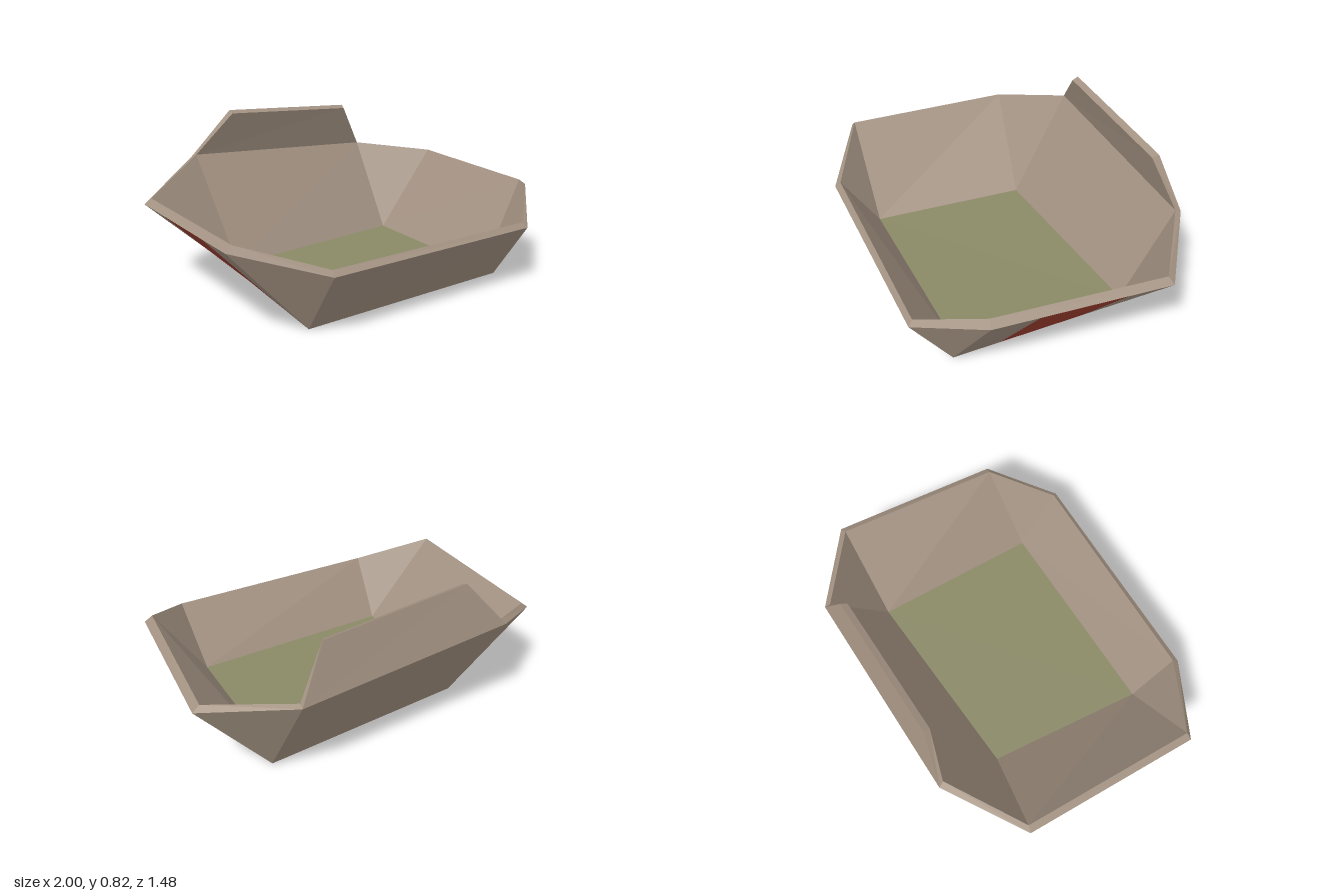
import * as THREE from 'three';

const shell = new THREE.MeshStandardMaterial({ color: 0xa39282 });
shell.name = 'taupe shell';
const red = new THREE.MeshStandardMaterial({ color: 0x9e3e2f });
red.name = 'red stripe';
const green = new THREE.MeshStandardMaterial({ color: 0x8a8a67 });
green.name = 'olive floor';

// Rim corners, clockwise from the back left as seen from above
const outerRim = [
  [-0.545, 0.575, -0.725], [0.61, 0.505, -0.74], [1.0, 0.445, -0.44], [0.89, 0.44, 0.45],
  [0.6, 0.315, 0.735], [-0.605, 0.315, 0.72], [-1.0, 0.44, 0.48], [-0.95, 0.43, -0.46],
];
const innerRim = [
  [-0.53, 0.59, -0.695], [0.605, 0.515, -0.71], [0.96, 0.47, -0.43], [0.85, 0.47, 0.44],
  [0.585, 0.34, 0.71], [-0.595, 0.34, 0.69], [-0.965, 0.47, 0.475], [-0.915, 0.458, -0.45],
];
// Floor corners: back +x and front +x, then front -x and back -x follow
const outerFloor = [[-0.5, 0.01, -0.385], [0.625, 0.01, -0.45], [0.595, 0.005, 0.52], [-0.605, 0, 0.515]];
const innerFloor = [[-0.48, 0.03, -0.36], [0.6, 0.03, -0.43], [0.555, 0.025, 0.48], [-0.58, 0.02, 0.49]];
const floorOf = [0, 1, 1, 2, 2, 3, 3, 0]; // floor corner below each rim corner

const lerp = (a, b, t) => a.map((v, i) => v + (b[i] - v) * t);

// Flat-shaded mesh from separate convex faces
function faceMesh(name, material, faces) {
  const pos = [];
  for (const f of faces)
    for (let i = 1; i < f.length - 1; i++) pos.push(...f[0], ...f[i], ...f[i + 1]);
  const geo = new THREE.BufferGeometry();
  geo.setAttribute('position', new THREE.Float32BufferAttribute(pos, 3));
  geo.computeVertexNormals();
  const mesh = new THREE.Mesh(geo, material);
  mesh.name = name;
  return mesh;
}

// Part of quad a-b-c-d between two fractions along a-b
const band = ([a, b, c, d], t0, t1) => [lerp(a, b, t0), lerp(a, b, t1), lerp(d, c, t1), lerp(d, c, t0)];

export function createModel() {
  const group = new THREE.Group();
  group.name = 'tray';
  const outer = [], inner = [], rim = [], stripe = [];

  const addStriped = (quad, t0, t1) => {
    outer.push(band(quad, 0, t0), band(quad, t1, 1));
    stripe.push(band(quad, t0, t1));
  };

  // Walls: quads on the four sides, triangles across the corners
  for (let i = 0; i < 8; i++) {
    const j = (i + 1) % 8, f = floorOf[i], g = floorOf[j];
    const wall = (r, b) => (f === g ? [r[i], r[j], b[f]] : [r[i], r[j], b[g], b[f]]);
    if (i === 2) addStriped(wall(outerRim, outerFloor), 0.26, 0.74);
    else if (i === 6) addStriped(wall(outerRim, outerFloor), 0.26, 0.74);
    else outer.push(wall(outerRim, outerFloor));
    inner.push(wall(innerRim, innerFloor).reverse());
    if (i > 0) rim.push([outerRim[i], innerRim[i], innerRim[j], outerRim[j]]);
  }

  // Underside carries the stripe across
  const [bl, br, fr, fl] = outerFloor;
  addStriped([br, fr, fl, bl], 0.26, 0.74);

  // Raised back flap leaning inward
  const [a, b] = outerRim, [ai, bi] = innerRim;
  const ta = [-0.33, 0.825, -0.66], tb = [0.46, 0.775, -0.675];
  const tai = [-0.33, 0.81, -0.627], tbi = [0.45, 0.76, -0.642];
  const flap = [
    [ta, tb, b, a], [ai, bi, tbi, tai], [ta, tai, tbi, tb],
    [a, ai, tai, ta], [b, tb, tbi, bi],
  ];

  group.add(
    faceMesh('outerWalls', shell, outer),
    faceMesh('innerWalls', shell, inner),
    faceMesh('rim', shell, rim),
    faceMesh('backFlap', shell, flap),
    faceMesh('stripe', red, stripe),
    faceMesh('floor', green, [[...innerFloor].reverse()]),
  );
  return group;
}
